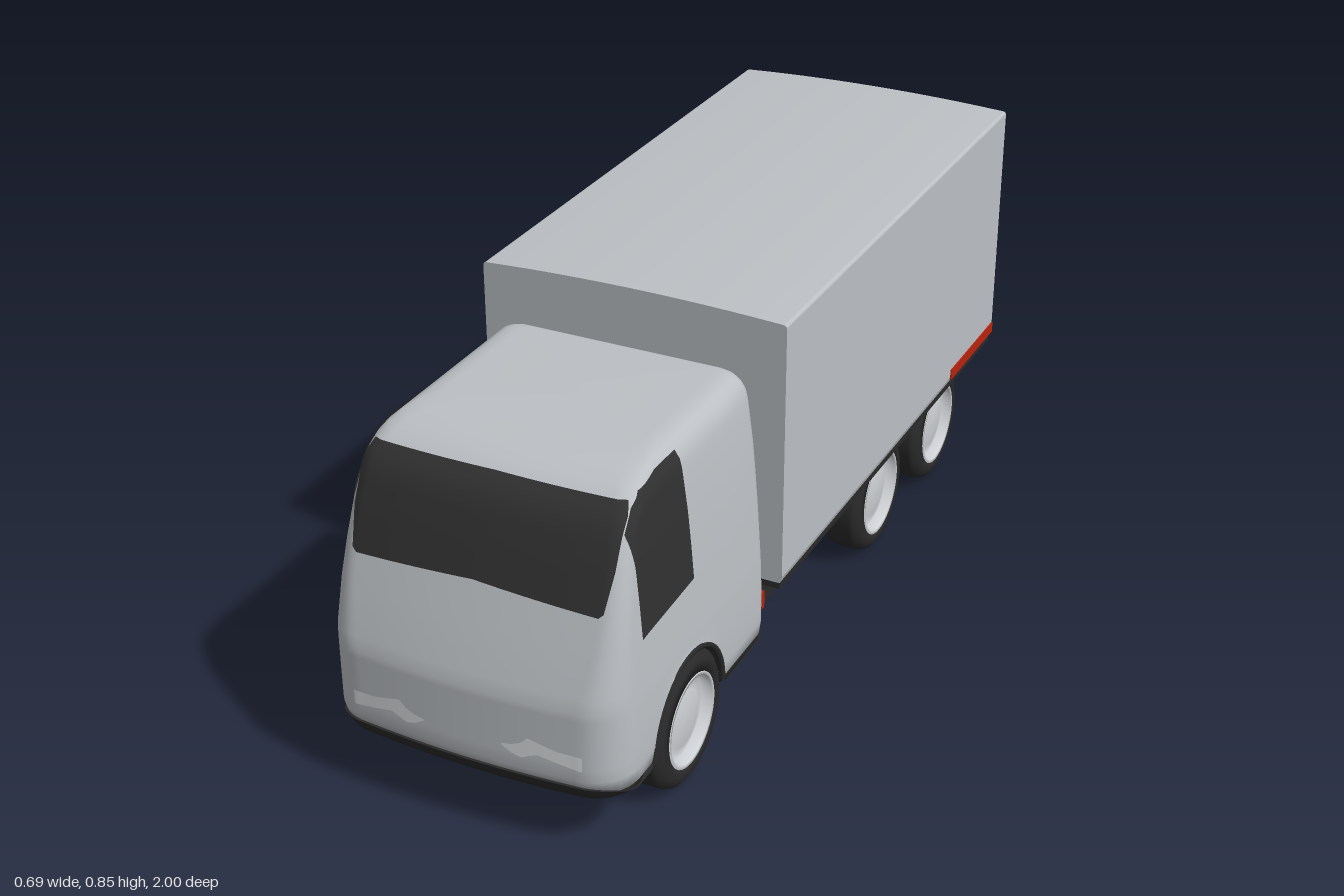
import * as THREE from 'three';

const mat = (name, color, side = THREE.FrontSide) => {
  const m = new THREE.MeshStandardMaterial({ color, side });
  m.name = name;
  return m;
};

// Cab outline by height: y, half width, front z, front corner radius, back z
const LEVELS = [
  [0.12, 0.300, 0.960, 0.09, 0.345], [0.135, 0.316, 0.988, 0.09, 0.335], [0.165, 0.322, 1.0, 0.09, 0.33],
  [0.25, 0.322, 1.0, 0.09, 0.33], [0.33, 0.319, 1.0, 0.085, 0.33], [0.36, 0.317, 0.993, 0.075, 0.33],
  [0.45, 0.311, 0.963, 0.055, 0.33], [0.525, 0.305, 0.937, 0.045, 0.33], [0.6, 0.298, 0.911, 0.04, 0.33],
  [0.66, 0.290, 0.887, 0.04, 0.33], [0.69, 0.286, 0.869, 0.04, 0.33], [0.71, 0.281, 0.845, 0.04, 0.33],
  [0.725, 0.272, 0.820, 0.04, 0.332], [0.736, 0.260, 0.785, 0.04, 0.335], [0.742, 0.245, 0.745, 0.04, 0.34],
  [0.745, 0.220, 0.700, 0.04, 0.35],
];
const BOW = 0.012;
const WHEEL_Z = 0.68, WHEEL_Y = 0.145, ARCH = 0.156;

// Linear lookup in a table keyed by its first column
function lookup(table, k) {
  let i = 0;
  while (i < table.length - 2 && k > table[i + 1][0]) i++;
  const a = table[i], b = table[i + 1];
  const t = Math.min(1, Math.max(0, (k - a[0]) / (b[0] - a[0])));
  return a.slice(1).map((v, j) => v + (b[j + 1] - v) * t);
}

// Half plan outline at a height, from back centre round to front centre
function halfSection(y) {
  const [w, f, r, b] = lookup(LEVELS, y);
  const rb = 0.025, zc = f - BOW - r, pts = [[0, b]];
  for (let i = 0; i <= 4; i++) {
    const a = (i / 4) * Math.PI / 2;
    pts.push([w - rb + rb * Math.sin(a), b + rb - rb * Math.cos(a)]);
  }
  const cols = [0.43, 0.515];
  for (let i = 0; i <= 20; i++) cols.push(WHEEL_Z - 0.1555 * Math.cos((i / 20) * Math.PI));
  cols.push(0.845);
  for (const z of cols) pts.push([w, b + rb + (z - 0.355) / (0.898 - 0.355) * (zc - b - rb)]);
  for (let i = 0; i <= 8; i++) {
    const a = (i / 8) * Math.PI / 2;
    pts.push([w - r + r * Math.cos(a), zc + r * Math.sin(a)]);
  }
  for (let i = 5; i >= 0; i--) pts.push([(w - r) * i / 6, f - BOW * (i / 6) ** 2]);
  return pts;
}

// Front and side surface of the cab, for laying panels on it
function frontZ(x, y) {
  const [w, f, r] = lookup(LEVELS, y), d = Math.abs(x) - (w - r);
  return d <= 0 ? f - BOW * (x / (w - r)) ** 2 : f - BOW - r + Math.sqrt(Math.max(0, r * r - d * d));
}
function sideX(z, y) {
  const [w, f, r] = lookup(LEVELS, y), d = z - (f - BOW - r);
  return d <= 0 ? w : w - r + Math.sqrt(Math.max(0, r * r - d * d));
}

const skirtTop = z => 0.138 + 0.025 * THREE.MathUtils.smoothstep(z, 0.9, 0.99);
const archY = z => {
  const d = z - WHEEL_Z;
  return Math.abs(d) < ARCH ? WHEEL_Y + Math.sqrt(ARCH * ARCH - d * d) : 0;
};

function gridGeometry(pos, index) {
  const g = new THREE.BufferGeometry();
  g.setAttribute('position', new THREE.Float32BufferAttribute(pos, 3));
  g.setIndex(index);
  g.computeVertexNormals();
  return g;
}

// Lofts the cab outline; limit(y, z) bends rows round arches and skirt
function loft(heights, limit, capY) {
  const pos = [], index = [];
  let n = 0;
  for (const y of heights) {
    const half = halfSection(y);
    const loop = [...half, ...half.slice(1, -1).reverse().map(([x, z]) => [-x, z])];
    n = loop.length;
    for (const [x, z] of loop) pos.push(x, limit(y, z), z);
  }
  for (let r = 0; r < heights.length - 1; r++) for (let i = 0; i < n; i++) {
    const a = r * n + i, b = r * n + (i + 1) % n;
    index.push(a, a + n, b, b, a + n, b + n);
  }
  if (capY !== undefined) {
    const top = (heights.length - 1) * n, c = pos.length / 3;
    pos.push(0, capY, 0.53);
    for (let i = 0; i < n; i++) index.push(top + i, c, top + (i + 1) % n);
  }
  return gridGeometry(pos, index);
}

// Panel between a low and a high edge, laid on a surface by map(u, v)
function panel(keys, map, nu = 28, nv = 10) {
  const pos = [], index = [], u0 = keys[0][0], u1 = keys[keys.length - 1][0];
  for (let i = 0; i <= nu; i++) {
    const u = u0 + (u1 - u0) * i / nu, [lo, hi] = lookup(keys, u);
    for (let j = 0; j <= nv; j++) pos.push(...map(u, lo + (hi - lo) * j / nv));
  }
  for (let i = 0; i < nu; i++) for (let j = 0; j < nv; j++) {
    const a = i * (nv + 1) + j, b = a + nv + 1;
    index.push(a, b, a + 1, b, b + 1, a + 1);
  }
  return gridGeometry(pos, index);
}

export function createModel() {
  const root = new THREE.Group();
  root.name = 'boxTruck';
  const body = mat('bodyGrey', 0xbcc0c4), black = mat('black', 0x2a2a2a, THREE.DoubleSide);
  const glass = mat('darkGlass', 0x303030, THREE.DoubleSide), red = mat('markerRed', 0xb82410);
  const rimMat = mat('rimGrey', 0xcdd0d4), lampMat = mat('lampGrey', 0xdcdee0, THREE.DoubleSide);
  const add = (name, geo, m, x = 0, y = 0, z = 0, parent = root) => {
    const mesh = new THREE.Mesh(geo, m);
    mesh.name = name;
    mesh.position.set(x, y, z);
    parent.add(mesh);
    return mesh;
  };
  const box = (name, m, w, h, d, x, y, z) => add(name, new THREE.BoxGeometry(w, h, d), m, x, y, z);

  // Cab shell, dark skirt and floor
  const upper = [0.12, 0.15, 0.18, 0.21, 0.25, 0.29, 0.315, ...LEVELS.slice(4).map(l => l[0])];
  add('cab', loft(upper, (y, z) => Math.max(y, skirtTop(z), archY(z)), 0.746), body);
  add('cabSkirt', loft([0.165, 0.15, 0.135, 0.12],
    (y, z) => Math.max(Math.min(y, skirtTop(z)), archY(z)), 0.12), black);

  // Windscreen
  add('windscreen', panel([[-0.277, 0.60, 0.69], [-0.272, 0.53, 0.71], [-0.262, 0.515, 0.711], [0, 0.531, 0.714],
    [0.262, 0.515, 0.711], [0.272, 0.53, 0.71], [0.277, 0.60, 0.69]],
  (x, y) => [x * 1.006, y, frontZ(x, y) + 0.004], 60, 14), glass);

  for (const s of [1, -1]) {
    const side = s > 0 ? 'left' : 'right';
    // Side window, headlamp and wheel arch lip
    add(side + 'SideWindow', panel([[0.65, 0.455, 0.727], [0.735, 0.451, 0.727], [0.80, 0.448, 0.718],
      [0.84, 0.446, 0.695], [0.865, 0.444, 0.66]],
    (z, y) => [s * (sideX(z, y) + 0.004), y, z], 20, 16), glass);
    add(side + 'Headlamp', panel([[0.085, 0.225, 0.229], [0.105, 0.213, 0.232], [0.125, 0.207, 0.24],
      [0.14, 0.214, 0.255], [0.16, 0.222, 0.25], [0.2, 0.214, 0.24], [0.25, 0.206, 0.238]],
    (x, y) => [s * x, y, frontZ(x, y) + 0.004], 24, 3), lampMat);
    const lip = add(side + 'ArchLip', new THREE.TorusGeometry(0.152, 0.007, 8, 32, Math.PI), black,
      s * 0.318, WHEEL_Y, WHEEL_Z);
    lip.rotation.y = Math.PI / 2;

    // Wheels: tyre and dished rim turned about the axle
    for (const [name, z, r] of [['front', WHEEL_Z, 0.145], ['middle', -0.31, 0.141], ['rear', -0.68, 0.141]]) {
      const wheel = new THREE.Group();
      wheel.name = side + name[0].toUpperCase() + name.slice(1) + 'Wheel';
      const turn = pts => new THREE.LatheGeometry(pts.map(p => new THREE.Vector2(...p)), 40);
      add('tyre', turn([[0, -0.0475], [r - 0.02, -0.0475], [r - 0.004, -0.036], [r, -0.025], [r, 0.025],
        [r - 0.004, 0.036], [r - 0.02, 0.0475], [0.1, 0.0475], [0.097, 0.02]]), black, 0, 0, 0, wheel);
      add('rim', turn([[0.101, 0.044], [0.1, 0.0485], [0.092, 0.048], [0.087, 0.026], [0.06, 0.032],
        [0.03, 0.036], [0, 0.037]]), rimMat, 0, 0, 0, wheel);
      wheel.position.set(s * 0.277, r, z);
      wheel.rotation.z = -s * Math.PI / 2;
      root.add(wheel);
    }

    // Red marker strips and lamps behind the cab
    box(side + 'SideMarker', red, 0.006, 0.026, 0.295, s * 0.343, 0.267, -0.85);
    box(side + 'RearMarker', red, 0.18, 0.024, 0.006, s * 0.25, 0.262, -0.998);
    box(side + 'CabRearLamp', red, 0.025, 0.04, 0.012, s * 0.303, 0.215, 0.326);
  }

  // Cargo box with bowed roof
  const shape = new THREE.Shape();
  shape.moveTo(-0.338, 0.245);
  shape.lineTo(0.338, 0.245);
  shape.lineTo(0.343, 0.26);
  shape.lineTo(0.343, 0.832);
  shape.quadraticCurveTo(0.343, 0.839, 0.335, 0.840);
  shape.quadraticCurveTo(0, 0.860, -0.335, 0.840);
  shape.quadraticCurveTo(-0.343, 0.839, -0.343, 0.832);
  shape.lineTo(-0.343, 0.26);
  const cargo = new THREE.ExtrudeGeometry(shape, { depth: 1.294, bevelEnabled: false, curveSegments: 12 });
  add('cargoBox', cargo, body, 0, 0, -0.999);

  // Floor frame and chassis
  box('cargoFloorFrame', black, 0.674, 0.02, 1.288, 0, 0.238, -0.353);
  box('chassis', black, 0.55, 0.09, 1.33, 0, 0.186, -0.315);
  return root;
}
